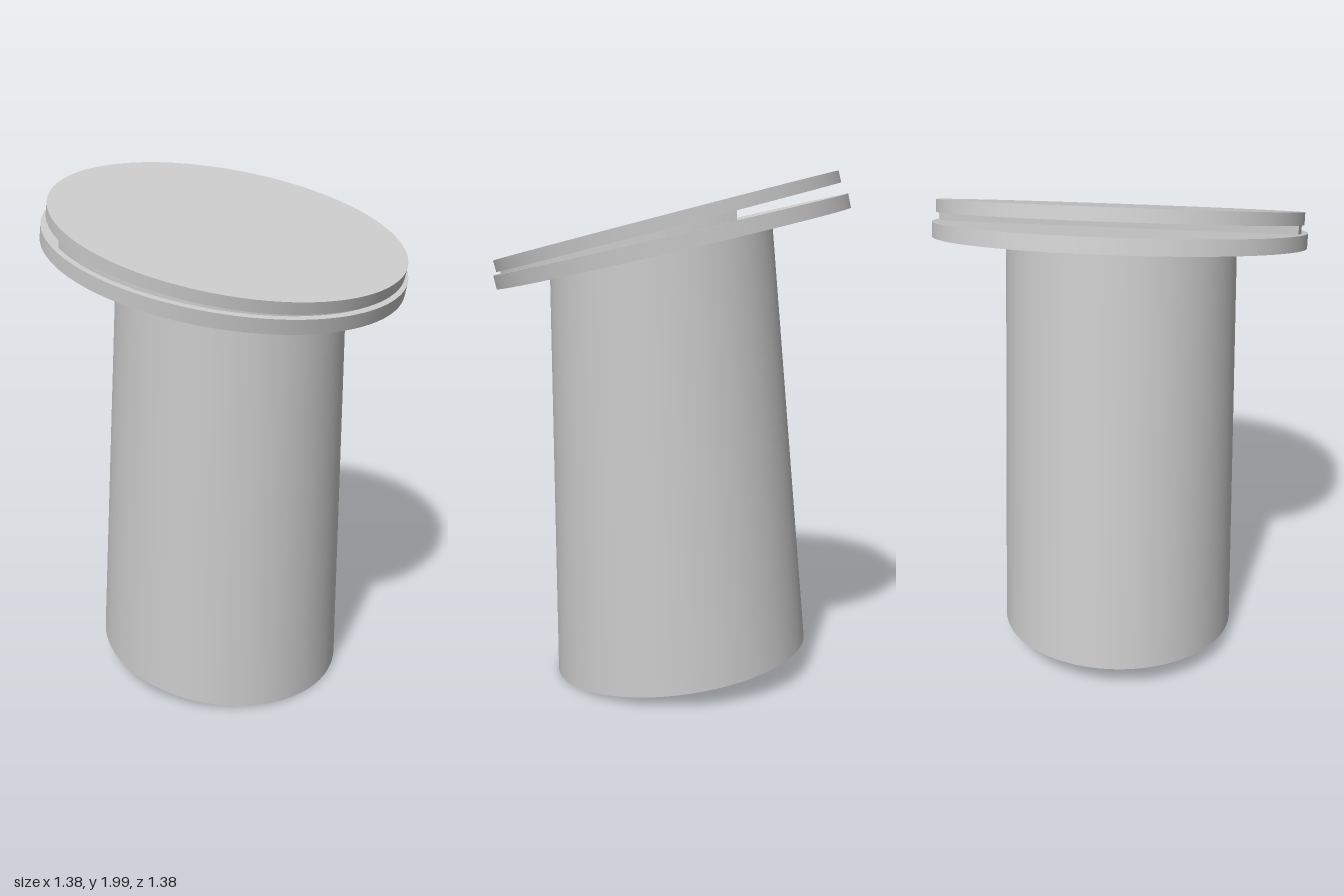
import * as THREE from 'three';

const grey = new THREE.MeshStandardMaterial({ color: 0xcccccc });
grey.name = 'plain grey';

// Undersides of the two tilted discs as y = a + b * z
const lowerTop = (z) => 1.757 - 0.23 * z;
const upperBottom = (z) => 1.787 - 0.259 * z;

// Thin round plate, tilted down toward the front; (y, z) is the centre of its underside
function plate(name, rx, rz, thickness, tilt, y, z) {
  const geo = new THREE.CylinderGeometry(1, 1, thickness, 96);
  geo.translate(0, thickness / 2, 0);
  geo.scale(rx, 1, rz);
  const mesh = new THREE.Mesh(geo, grey);
  mesh.name = name;
  mesh.rotation.x = tilt;
  mesh.position.set(0, y, z);
  return mesh;
}

// Leaning, tapered column whose two ends are cut at a slant
function column() {
  const geo = new THREE.CylinderGeometry(1, 1, 1, 96, 1);
  const p = geo.attributes.position;
  for (let i = 0; i < p.count; i++) {
    const top = p.getY(i) > 0;
    const x = p.getX(i) * (top ? 0.433 : 0.48);
    const z = top ? 0.042 + p.getZ(i) * 0.433 : -0.04 + p.getZ(i) * 0.505;
    p.setXYZ(i, x + (top ? 0 : 0.003), top ? 1.715 - 0.23 * z : 0.065 - 0.129 * z, z);
  }
  // Slanted ends need new normals; the seam is restored afterwards
  geo.computeVertexNormals();
  const n = geo.attributes.normal;
  for (const row of [0, 97]) {
    const v = new THREE.Vector3().fromBufferAttribute(n, row)
      .add(new THREE.Vector3().fromBufferAttribute(n, row + 96)).normalize();
    n.setXYZ(row, v.x, v.y, v.z);
    n.setXYZ(row + 96, v.x, v.y, v.z);
  }
  const mesh = new THREE.Mesh(geo, grey);
  mesh.name = 'column';
  return mesh;
}

// Wedge joining the front part of the two discs
function wedge() {
  const shape = new THREE.Shape();
  const start = Math.asin(-0.13 / 0.665);
  shape.absarc(0, 0, 0.665, start, Math.PI - start, false);
  shape.closePath();
  const geo = new THREE.ExtrudeGeometry(shape, { depth: 1, bevelEnabled: false, curveSegments: 48 });
  geo.rotateX(Math.PI / 2);
  const p = geo.attributes.position;
  for (let i = 0; i < p.count; i++) {
    const z = p.getZ(i);
    p.setY(i, p.getY(i) > -0.5 ? upperBottom(z) + 0.01 : lowerTop(z) - 0.01);
  }
  geo.computeVertexNormals();
  const mesh = new THREE.Mesh(geo, grey);
  mesh.name = 'discWedge';
  return mesh;
}

export function createModel() {
  const model = new THREE.Group();
  model.name = 'tiltedPedestal';
  model.add(
    column(),
    plate('lowerDisc', 0.69, 0.703, 0.054, 0.226, 1.703, -0.005),
    wedge(),
    plate('upperDisc', 0.675, 0.687, 0.045, 0.253, 1.783, 0.015)
  );
  return model;
}
